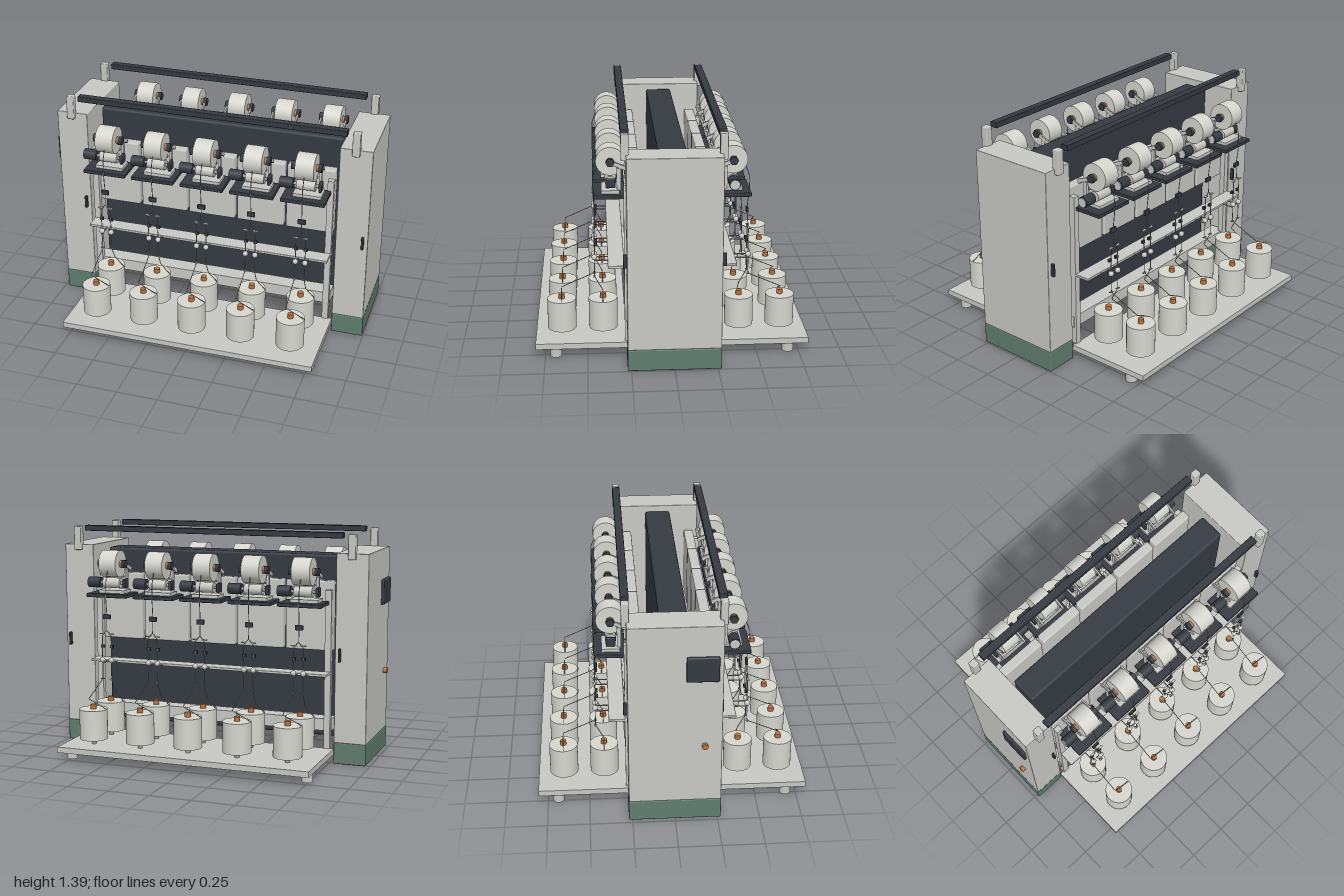
import * as THREE from 'three';
import { RoundedBoxGeometry } from 'three/addons/geometries/RoundedBoxGeometry.js';

const paint = (name, color) => {
  const m = new THREE.MeshStandardMaterial({ color });
  m.name = name;
  return m;
};

export function createModel() {
  const grey = paint('lightGrey', 0xc8c9c4);
  const dark = paint('charcoal', 0x353a42);
  const green = paint('baseGreen', 0x5f7d6e);
  const copper = paint('copper', 0xb8733f);
  const yarn = paint('yarnWhite', 0xd6d6cf);
  const steel = paint('steel', 0x9fa19d);

  const add = (parent, name, geo, mat, x, y, z) => {
    const m = new THREE.Mesh(geo, mat);
    m.name = name;
    m.position.set(x, y, z);
    parent.add(m);
    return m;
  };
  // box given by its min and max on each axis, with optional rounded edges
  const box = (p, name, mat, [x0, x1], [y0, y1], [z0, z1], r = 0) => {
    const s = [x1 - x0, y1 - y0, z1 - z0];
    const g = r ? new RoundedBoxGeometry(...s, 2, r) : new THREE.BoxGeometry(...s);
    return add(p, name, g, mat, (x0 + x1) / 2, (y0 + y1) / 2, (z0 + z1) / 2);
  };
  // upright cylinder from y0 to y1
  const post = (p, name, mat, r, y0, y1, x, z, n = 32) =>
    add(p, name, new THREE.CylinderGeometry(r, r, y1 - y0, n), mat, x, (y0 + y1) / 2, z);
  // cylinder lying along x from x0 to x1
  const axle = (p, name, mat, r, x0, x1, y, z, n = 32) => {
    const m = add(p, name, new THREE.CylinderGeometry(r, r, x1 - x0, n), mat, (x0 + x1) / 2, y, z);
    m.rotation.z = Math.PI / 2;
    return m;
  };
  // straight-segment wire or yarn through points
  const wire = (p, name, mat, r, pts) => {
    const path = new THREE.CurvePath();
    const v = pts.map(a => new THREE.Vector3(...a));
    for (let i = 1; i < v.length; i++) path.add(new THREE.LineCurve3(v[i - 1], v[i]));
    add(p, name, new THREE.TubeGeometry(path, (v.length - 1) * 6, r, 5), mat, 0, 0, 0);
  };
  const group = (p, name, x = 0) => {
    const g = new THREE.Group();
    g.name = name;
    g.position.x = x;
    p.add(g);
    return g;
  };

  const root = new THREE.Group();
  root.name = 'yarnWindingMachine';
  const machine = group(root, 'machine', 0.01);

  // end cabinets with green plinths and door handles
  for (const s of [-1, 1]) {
    const cab = group(machine, s < 0 ? 'rightCabinet' : 'leftCabinet', s * 0.887);
    box(cab, 'cabinetBody', grey, [-0.098, 0.098], [0.13, 1.27], [-0.27, 0.27], 0.004);
    box(cab, 'plinth', green, [-0.099, 0.099], [0, 0.13], [-0.271, 0.271], 0.006);
    for (const f of [-1, 1]) {
      const h = box(cab, 'doorHandle', dark, [0.06, 0.075], [0.625, 0.705], [0.268, 0.292], 0.004);
      h.position.z *= f;
      const m = box(cab, 'railPost', grey, [-0.023, 0.023], [1.235, 1.385], [0.252, 0.297], 0.006);
      m.position.z *= f;
    }
  }
  // control screen and knob on the outer face
  box(machine, 'screenFrame', dark, [-1.003, -0.98], [0.93, 1.085], [0.06, 0.245], 0.008);
  axle(machine, 'controlKnob', copper, 0.018, -1.008, -0.98, 0.505, 0.17, 24);

  // dark spine between the cabinets
  box(machine, 'centralPanel', dark, [-0.77, 0.77], [0.12, 1.24], [-0.082, 0.082], 0.015);

  // one supply bobbin on its peg
  const bobbin = (p, z) => {
    const b = group(p, 'supplyBobbin');
    post(b, 'peg', steel, 0.014, 0.09, 0.11, 0, z, 16);
    post(b, 'core', copper, 0.018, 0.105, 0.337, 0, z, 20);
    post(b, 'yarnBody', yarn, 0.085, 0.125, 0.31, 0, z, 40);
  };

  // one winding position
  const unit = (side, x) => {
    const u = group(side, 'windingUnit', x);
    box(u, 'housing', grey, [-0.147, 0.147], [0.68, 1.1], [0.178, 0.24], 0.01);
    box(u, 'tray', dark, [-0.133, 0.133], [0.963, 0.986], [0.27, 0.452], 0.004);
    box(u, 'headBase', grey, [-0.07, 0.1], [0.986, 1.005], [0.3, 0.405]);
    // drive roller, motor and gearbox
    axle(u, 'driveRoller', grey, 0.032, -0.056, 0.056, 1.045, 0.352);
    axle(u, 'driveShaft', steel, 0.01, -0.09, 0.09, 1.045, 0.352, 16);
    axle(u, 'motor', dark, 0.033, -0.158, -0.078, 1.045, 0.352);
    axle(u, 'motorCap', grey, 0.027, -0.162, -0.157, 1.045, 0.352);
    box(u, 'gearbox', dark, [0.076, 0.096], [1.017, 1.073], [0.324, 0.38], 0.006);
    // wound package held by two arms
    axle(u, 'woundPackage', yarn, 0.083, -0.056, 0.056, 1.165, 0.353, 48);
    axle(u, 'packageCore', copper, 0.022, -0.07, 0.07, 1.165, 0.353, 20);
    axle(u, 'packageClamp', dark, 0.026, -0.092, -0.068, 1.165, 0.353, 6);
    axle(u, 'packageClamp', dark, 0.026, 0.068, 0.092, 1.165, 0.353, 6);
    for (const s of [-1, 1]) {
      const arm = box(u, 'cradleArm', grey, [-0.006, 0.006], [-0.012, 0.012], [-0.055, 0.055], 0.003);
      arm.position.set(s * 0.079, 1.145, 0.303);
      arm.rotation.x = -0.4;
      box(u, 'armBracket', grey, [s * 0.073 - 0.007, s * 0.073 + 0.007], [1, 1.13], [0.292, 0.316]);
    }
    axle(u, 'cradlePivot', steel, 0.01, -0.085, 0.085, 1.12, 0.262, 16);
    box(u, 'traverseGuide', steel, [-0.056, 0.056], [1.075, 1.085], [0.298, 0.318]);

    // thread path from package down to the two bobbins
    wire(u, 'upperThread', steel, 0.0025,
      [[0, 1.125, 0.425], [0, 1.06, 0.452], [0, 0.965, 0.455], [0, 0.85, 0.443], [0, 0.76, 0.45]]);
    wire(u, 'threadFork', steel, 0.003,
      [[-0.03, 0.57, 0.45], [-0.03, 0.73, 0.45], [0, 0.76, 0.45], [0.03, 0.73, 0.45], [0.03, 0.57, 0.45]]);
    box(u, 'threadSensor', dark, [-0.024, 0.024], [0.83, 0.86], [0.436, 0.45], 0.003);
    for (const s of [-1, 1]) {
      const z = s < 0 ? 0.65 : 0.405;
      box(u, 'threadClip', dark, [s * 0.03 - 0.011, s * 0.03 + 0.011], [0.65, 0.668], [0.434, 0.448]);
      box(u, 'threadGuide', grey, [s * 0.03 - 0.016, s * 0.03 + 0.016], [0.736, 0.742], [0.444, 0.458]);
      add(u, 'guideBall', new THREE.SphereGeometry(0.017, 16, 12), grey, s * 0.03, 0.575, 0.452);
      wire(u, 'guideRod', steel, 0.004, [[s * 0.03, 0.555, 0.36], [s * 0.03, 0.555, 0.452]]);
      box(u, 'lowerGuide', steel, [s * 0.03 - 0.012, s * 0.03 + 0.012], [0.453, 0.458], [0.446, 0.458]);
      wire(u, 'lowerThread', steel, 0.0025,
        [[s * 0.03, 0.57, 0.452], [s * 0.03, 0.455, 0.452], [s * 0.03, 0.368, z], [0.084, 0.313, z]]);
      bobbin(u, z);
    }
  };

  // the same working side on the front and, turned round, on the back
  for (const turn of [0, Math.PI]) {
    const side = group(machine, turn ? 'backSide' : 'frontSide');
    side.rotation.y = turn;
    box(side, 'platform', grey, [-0.79, 0.79], [0.057, 0.092], [0.27, 0.805]);
    box(side, 'lowerBeam', grey, [-0.77, 0.77], [0.197, 0.27], [0.165, 0.265]);
    box(side, 'guideShelf', grey, [-0.765, 0.765], [0.546, 0.562], [0.278, 0.375], 0.004);
    box(side, 'topRail', dark, [-0.833, 0.833], [1.358, 1.392], [0.25, 0.298], 0.004);
    for (const s of [-1, 1]) {
      post(side, 'foot', grey, 0.034, 0, 0.057, s * 0.748, 0.687);
      box(side, 'framePost', grey, [s * 0.747 - 0.019, s * 0.747 + 0.019], [0.092, 1.05], [0.245, 0.28]);
    }
    for (let i = -2; i <= 2; i++) unit(side, i * 0.309);
  }
  return root;
}
